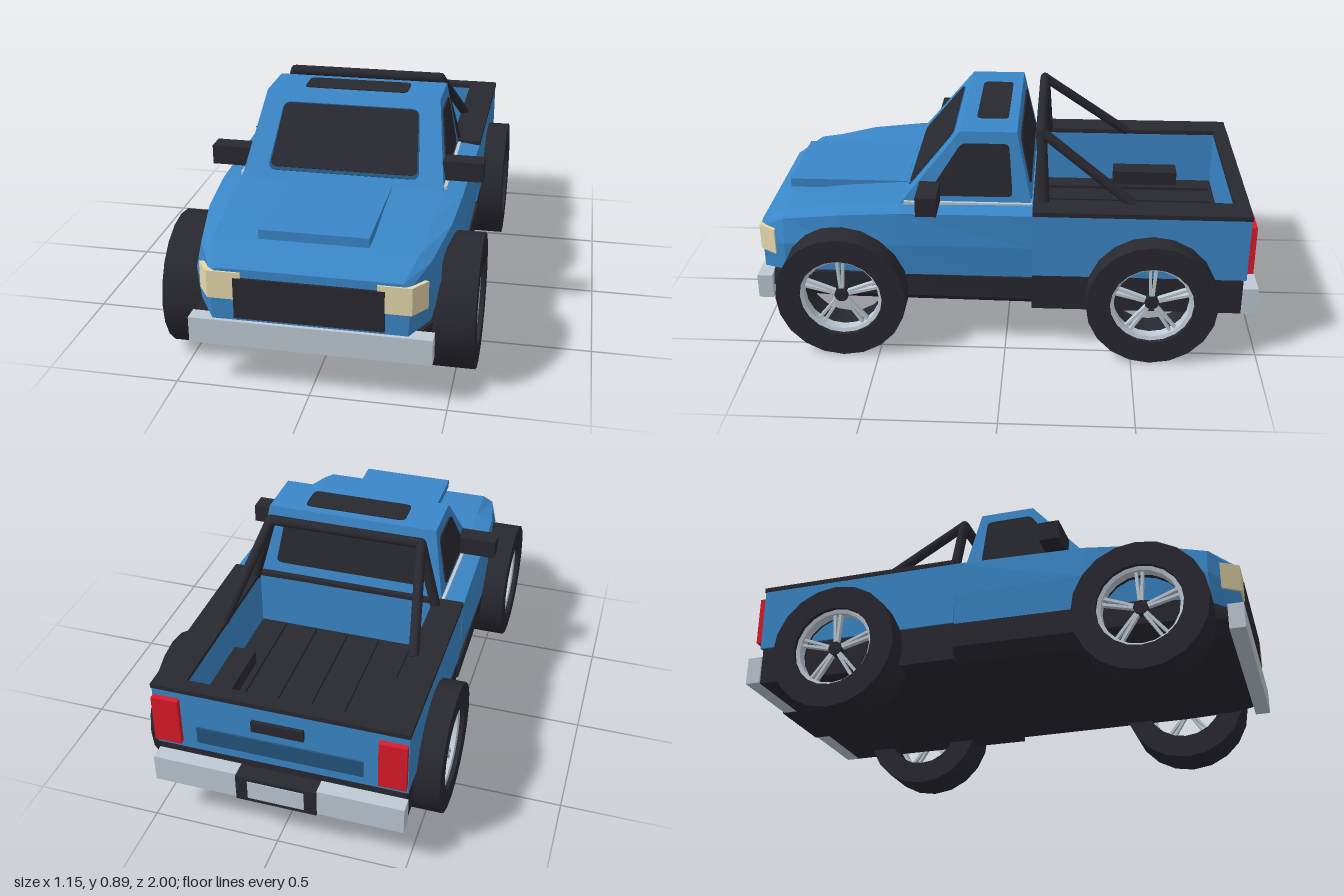
import * as THREE from 'three';
import { toCreasedNormals, mergeGeometries } from 'three/addons/utils/BufferGeometryUtils.js';
import { ConvexGeometry } from 'three/addons/geometries/ConvexGeometry.js';

const V = (x, y, z) => new THREE.Vector3(x, y, z);

// Skin symmetric half-profiles [x, y] (bottom to top) at rising z, with flat facets
function loft(sections) {
  const rings = sections.map(([z, half]) => [
    ...half.map(([x, y]) => [x, y, z]),
    ...[...half].reverse().map(([x, y]) => [-x, y, z]),
  ]);
  const pos = [], n = rings[0].length, last = rings.length - 1;
  const tri = (...c) => c.forEach((p) => pos.push(...p));
  for (let s = 0; s < last; s++) {
    for (let i = 0; i < n; i++) {
      const j = (i + 1) % n, a = rings[s], b = rings[s + 1];
      tri(a[i], a[j], b[j]);
      tri(a[i], b[j], b[i]);
    }
  }
  for (let i = 1; i < n - 1; i++) {
    tri(rings[last][0], rings[last][i], rings[last][i + 1]);
    tri(rings[0][0], rings[0][i + 1], rings[0][i]);
  }
  const g = new THREE.BufferGeometry();
  g.setAttribute('position', new THREE.Float32BufferAttribute(pos, 3));
  g.computeVertexNormals();
  return g;
}

// Thin plate with rounded corners, lying on the plane spanned by u and v
function plate(origin, u, v, pts, radius, depth) {
  const shape = new THREE.Shape(), n = pts.length;
  const p = pts.map(([x, y]) => new THREE.Vector2(x, y));
  for (let i = 0; i < n; i++) {
    const c = p[i];
    const toward = (q) => c.clone().add(q.clone().sub(c).setLength(radius));
    const a = toward(p[(i + n - 1) % n]), b = toward(p[(i + 1) % n]);
    if (i) shape.lineTo(a.x, a.y); else shape.moveTo(a.x, a.y);
    shape.quadraticCurveTo(c.x, c.y, b.x, b.y);
  }
  shape.closePath();
  const g = new THREE.ExtrudeGeometry(shape, { depth, bevelEnabled: false, curveSegments: 3 });
  u.normalize();
  v.normalize();
  const m = new THREE.Matrix4().makeBasis(u, v, u.clone().cross(v)).setPosition(origin);
  return g.applyMatrix4(m);
}

// Round bar between two points
function bar(a, b, r) {
  const d = b.clone().sub(a);
  const g = new THREE.CylinderGeometry(r, r, d.length(), 10);
  g.applyQuaternion(new THREE.Quaternion().setFromUnitVectors(V(0, 1, 0), d.normalize()));
  const mid = a.clone().add(b).multiplyScalar(0.5);
  return g.translate(mid.x, mid.y, mid.z);
}

// Rectangular frame seen from above
function frame(x, z0, z1, ix, iz0, iz1, y, height) {
  const rect = (P, w, a, b) => new P().moveTo(-w, -b).lineTo(w, -b).lineTo(w, -a).lineTo(-w, -a).closePath();
  const s = rect(THREE.Shape, x, z0, z1);
  s.holes.push(rect(THREE.Path, ix, iz0, iz1));
  return new THREE.ExtrudeGeometry(s, { depth: height, bevelEnabled: false })
    .rotateX(-Math.PI / 2).translate(0, y, 0);
}

export function createModel() {
  const truck = new THREE.Group();
  truck.name = 'pickupTruck';
  const mat = (name, color) => {
    const m = new THREE.MeshStandardMaterial({ color });
    m.name = name;
    return m;
  };
  const blue = mat('bluePaint', 0x3a87c8), deepBlue = mat('deepBluePaint', 0x25547c);
  const dark = mat('darkTrim', 0x282830), grey = mat('greyMetal', 0xbfcad4);
  const red = mat('redLamp', 0xdb1c2a), cream = mat('creamLamp', 0xe6d8ac);
  const add = (name, g, m, parent = truck) => {
    const mesh = new THREE.Mesh(g, m);
    mesh.name = name;
    parent.add(mesh);
    return mesh;
  };
  // Box from its minimum and maximum extents
  const box = (name, m, x0, x1, y0, y1, z0, z1) => add(name,
    new THREE.BoxGeometry(x1 - x0, y1 - y0, z1 - z0)
      .translate((x0 + x1) / 2, (y0 + y1) / 2, (z0 + z1) / 2), m);

  // Front body with bonnet, dark chassis below
  add('frontBody', loft([
    [-0.105, [[0.48, 0.3], [0.49, 0.45], [0.488, 0.588], [0.42, 0.597]]],
    [0.42, [[0.48, 0.3], [0.488, 0.45], [0.475, 0.58], [0.4, 0.59]]],
    [0.65, [[0.46, 0.3], [0.47, 0.44], [0.46, 0.56], [0.39, 0.573]]],
    [0.88, [[0.43, 0.3], [0.44, 0.42], [0.418, 0.52], [0.375, 0.543]]],
    [0.985, [[0.355, 0.275], [0.36, 0.37], [0.355, 0.455], [0.335, 0.477]]],
  ]), blue);
  add('chassis', loft([
    [-0.105, [[0.43, 0.178], [0.488, 0.225], [0.493, 0.32]]],
    [0.65, [[0.42, 0.178], [0.475, 0.225], [0.475, 0.32]]],
    [0.85, [[0.4, 0.178], [0.455, 0.225], [0.455, 0.3]]],
    [0.94, [[0.36, 0.178], [0.42, 0.225], [0.4, 0.28]]],
  ]), dark);
  box('hoodPanel', blue, -0.2, 0.2, 0.558, 0.594, 0.415, 0.893);

  // Cab shell and glass
  const cabPts = [];
  for (const s of [-1, 1]) {
    cabPts.push(V(s * 0.4, 0.585, 0.42), V(s * 0.4, 0.585, -0.102),
      V(s * 0.35, 0.877, 0.18), V(s * 0.35, 0.877, -0.04));
  }
  add('cab', new ConvexGeometry(cabPts), blue);
  const front = () => [V(0, 0.585, 0.42), V(1, 0, 0), V(0, 0.292, -0.24)];
  add('windshieldFrame', plate(...front(),
    [[-0.3, 0.042], [0.3, 0.042], [0.273, 0.331], [-0.273, 0.331]], 0.03, 0.003), deepBlue);
  add('windshield', plate(...front(),
    [[-0.292, 0.056], [0.292, 0.056], [0.27, 0.326], [-0.27, 0.326]], 0.025, 0.007), dark);
  add('rearWindow', plate(V(0, 0.585, -0.102), V(-1, 0, 0), V(0, 0.292, 0.062),
    [[-0.31, 0.06], [0.31, 0.06], [0.28, 0.25], [-0.28, 0.25]], 0.025, 0.006), dark);
  add('sunroof', plate(V(0, 0.877, 0), V(1, 0, 0), V(0, 0, -1),
    [[-0.21, -0.125], [0.21, -0.125], [0.21, 0], [-0.21, 0]], 0.025, 0.004), dark);

  // Cargo bed
  add('bedWalls', frame(0.487, -0.94, -0.105, 0.37, -0.885, -0.13, 0.33, 0.26), blue);
  add('bedRail', frame(0.49, -0.944, -0.105, 0.37, -0.885, -0.13, 0.588, 0.018), dark);
  box('bedBase', dark, -0.48, 0.48, 0.178, 0.332, -0.93, -0.105);
  box('bedFloor', dark, -0.372, 0.372, 0.325, 0.365, -0.89, -0.12);
  for (let i = -2; i <= 2; i++) {
    box('floorRib', dark, i * 0.136 - 0.016, i * 0.136 + 0.016, 0.36, 0.378, -0.865, -0.15);
  }

  // Nose and tail fittings
  box('grille', dark, -0.272, 0.272, 0.287, 0.445, 0.93, 0.995);
  box('frontBumper', grey, -0.443, 0.443, 0.175, 0.275, 0.94, 1);
  box('tailgatePanel', deepBlue, -0.32, 0.32, 0.37, 0.44, -0.947, -0.938);
  box('tailgateHandle', dark, -0.1, 0.1, 0.485, 0.53, -0.955, -0.938);
  box('towStep', dark, -0.157, 0.157, 0.178, 0.29, -0.997, -0.92);
  box('rearPlate', grey, -0.11, 0.11, 0.195, 0.275, -1, -0.995);

  // Wheel parts: open tyre, rim ring and five split spokes on a dark hub
  const P = (r, w) => new THREE.Vector2(r, w);
  const spin = (pts) => toCreasedNormals(
    new THREE.LatheGeometry(pts, 20).rotateZ(-Math.PI / 2), 0.6);
  const tyreGeo = spin([P(0.163, -0.0915), P(0.256, -0.0915), P(0.256, 0.0915),
    P(0.163, 0.0915), P(0.163, -0.0915)]);
  const rimGeo = spin([P(0.148, 0.03), P(0.164, 0.03), P(0.164, 0.075), P(0.148, 0.07), P(0.148, 0.03)]);
  const hubGeo = new THREE.CylinderGeometry(0.028, 0.028, 0.03, 10).rotateZ(Math.PI / 2).translate(0.05, 0, 0);
  const spokes = [];
  for (let k = 0; k < 5; k++) {
    for (const t of [-1, 1]) {
      spokes.push(new THREE.BoxGeometry(0.02, 0.125, 0.011).translate(0, 0.09, 0)
        .rotateX(t * 0.06).translate(0, 0, t * 0.003).rotateX((k * Math.PI * 2) / 5));
    }
  }
  const spokeGeo = mergeGeometries(spokes).translate(0.05, 0, 0);

  for (const s of [-1, 1]) {
    const side = s > 0 ? 'left' : 'right';
    const sbox = (name, m, x0, x1, ...r) =>
      box(side + name, m, Math.min(s * x0, s * x1), Math.max(s * x0, s * x1), ...r);

    for (const [end, z] of [['Front', 0.64], ['Rear', -0.573]]) {
      const wheel = new THREE.Group();
      wheel.name = side + end + 'Wheel';
      wheel.position.set(s * 0.486, 0.256, z);
      if (s < 0) wheel.rotation.y = Math.PI;
      add('tyre', tyreGeo, dark, wheel);
      add('rim', rimGeo, grey, wheel);
      add('spokes', spokeGeo, grey, wheel);
      add('hub', hubGeo, dark, wheel);
      truck.add(wheel);
    }

    // Door glass, mirror and sill trim; plate u runs along -s z
    add(side + 'Window', plate(V(s * 0.4, 0.585, 0), V(0, 0, -s), V(-s * 0.05, 0.292, 0),
      [[0.29, 0.04], [0.275, 0.095], [0.175, 0.25], [-0.01, 0.25], [-0.025, 0.04]]
        .map(([z, y]) => [-s * z, y]), 0.02, 0.006), dark);
    sbox('Mirror', dark, 0.385, 0.542, 0.603, 0.68, 0.258, 0.338);
    sbox('SillTrim', grey, 0.36, 0.41, 0.585, 0.602, -0.1, 0.4);

    // Lamps and rear bumper halves
    const lamp = [];
    for (const y of [0.36, 0.466]) {
      lamp.push(V(s * 0.245, y, 0.992), V(s * 0.368, y, 0.992), V(s * 0.416, y, 0.922), V(s * 0.245, y, 0.91));
    }
    add(side + 'Headlight', new ConvexGeometry(lamp), cream);
    sbox('TailLight', red, 0.38, 0.484, 0.36, 0.558, -0.963, -0.93);
    sbox('RearBumper', grey, 0.157, 0.487, 0.18, 0.292, -0.99, -0.93);

    // Wheel housing inside the bed
    sbox('WheelHousing', dark, 0.28, 0.375, 0.36, 0.44, -0.725, -0.445);

    // Roll bar legs
    const top = V(s * 0.312, 0.868, -0.132);
    add(side + 'RollBarPost', bar(V(s * 0.385, 0.595, -0.148), top, 0.021), dark);
    add(side + 'RollBarBrace', bar(V(s * 0.385, 0.595, -0.5), top, 0.02), dark);
    const joint = add(side + 'RollBarJoint', new THREE.SphereGeometry(0.021, 10, 6), dark);
    joint.position.copy(top);
  }
  add('rollBarTop', bar(V(-0.312, 0.868, -0.132), V(0.312, 0.868, -0.132), 0.021), dark);
  return truck;
}
